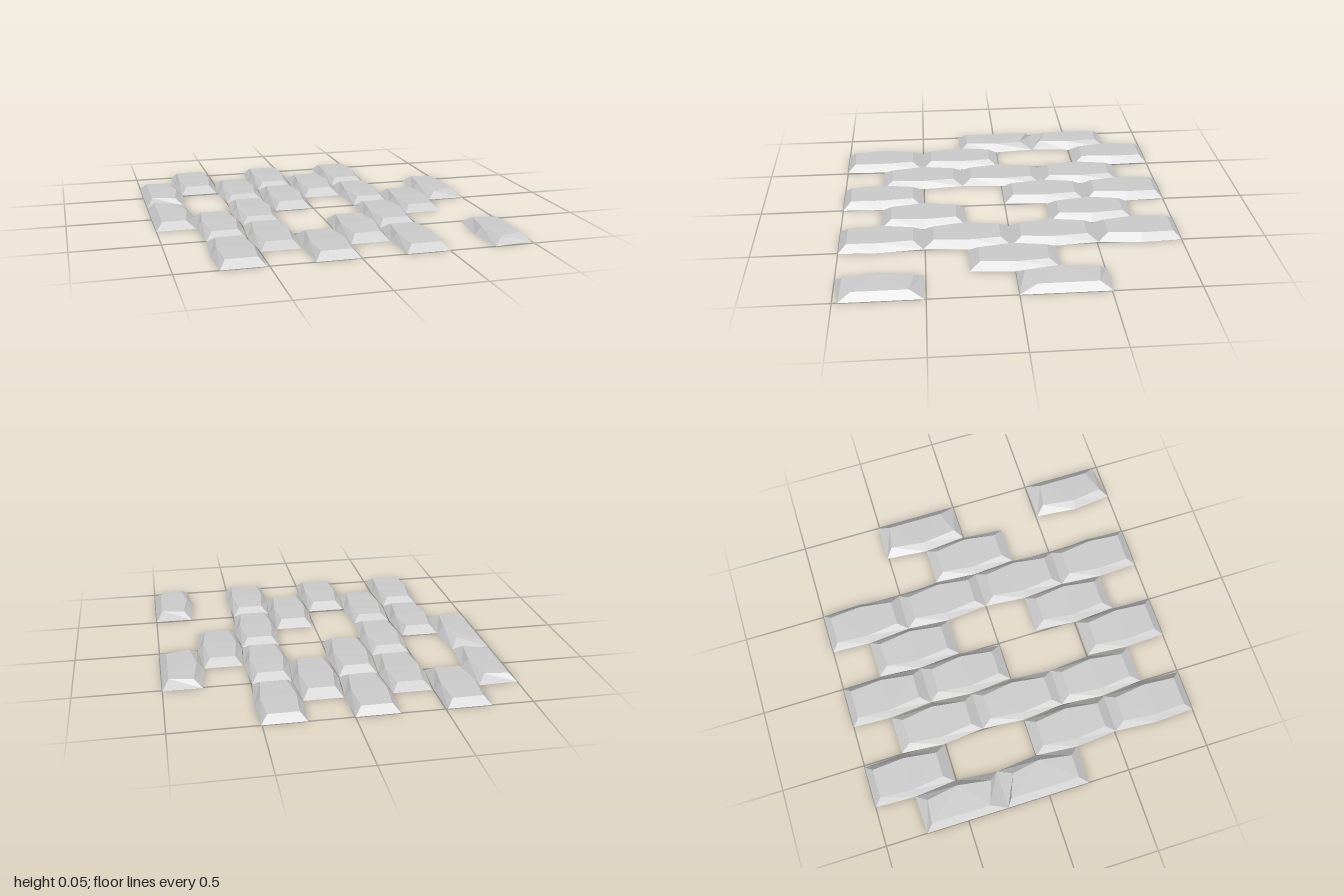
import * as THREE from 'three';

const material = new THREE.MeshStandardMaterial({ color: 0xcccccc, flatShading: true, side: THREE.DoubleSide });

// Open-bottomed bevelled stone: base and top rings of [x, z], clockwise from above,
// starting at a bulging side so the top folds across the middle.
function stone(name, base, top, height) {
  const n = base.length;
  const mids = n === 6 ? [0, 3] : [0];
  const b = base.map(([x, z]) => [x, 0, z]);
  const t = top.map(([x, z], i) => [x, mids.includes(i) ? height : height - 0.005, z]);
  const pos = [];
  const tri = (p, q, r) => pos.push(...p, ...q, ...r);
  for (let i = 0; i < n; i++) {
    const j = (i + 1) % n;
    tri(b[i], t[i], t[j]);
    tri(b[i], t[j], b[j]);
  }
  for (let i = 1; i < n - 1; i++) tri(t[0], t[i + 1], t[i]);
  const geometry = new THREE.BufferGeometry();
  geometry.setAttribute('position', new THREE.Float32BufferAttribute(pos, 3));
  geometry.computeVertexNormals();
  const mesh = new THREE.Mesh(geometry, material);
  mesh.name = name;
  return mesh;
}

// Six-sided ring; the ends may differ in width
function hexRing(x, back, mid, front, wBack, wMid, wFront) {
  return [
    [x - wMid, mid], [x - wBack, back], [x + wBack, back],
    [x + wMid, mid], [x + wFront, front], [x - wFront, front],
  ];
}

function hexStone(x, middle, height) {
  const back = Math.max(middle - 0.255, -1);
  const front = Math.min(middle + 0.255, 1);
  // stones trimmed by the border have wider ends and a narrower bevel
  const cutBack = back === -1, cutFront = front === 1;
  const base = hexRing(x, back, middle, front, cutBack ? 0.125 : 0.114, 0.135, cutFront ? 0.125 : 0.114);
  const top = hexRing(x, back + (cutBack ? 0.043 : 0.06), middle, front - (cutFront ? 0.047 : 0.06),
    cutBack ? 0.087 : 0.075, 0.1, cutFront ? 0.087 : 0.075);
  return stone('pavingStone', base, top, height);
}

export function createModel() {
  const group = new THREE.Group();
  group.name = 'stonePath';

  // Full stones by column: x, height, centres along z
  const columns = [
    [-0.637, 0.047, [-0.765, 0.255, 0.765]],
    [-0.381, 0.042, [-0.51, 0, 0.505]],
    [-0.126, 0.048, [-0.765, -0.255, 0.765]],
    [0.128, 0.049, [-0.51, 0.505]],
    [0.38, 0.046, [-0.765, -0.255, 0.255, 0.765]],
    [0.633, 0.044, [0]],
  ];
  for (const [x, height, centres] of columns) {
    for (const z of centres) group.add(hexStone(x, z, height));
  }

  // Half stones on the left and right borders:
  // [side, base z and top z at outer back, inner back, inner front, outer front, inner mid z]
  const halves = [
    [-1, [-0.75, -0.76, -0.255, -0.255], [-0.71, -0.695, -0.305, -0.355], -0.505],
    [-1, [-0.255, -0.255, 0.25, 0.25], [-0.225, -0.17, 0.197, 0.197], 0],
    [1, [-0.51, -0.51, 0, 0], [-0.44, -0.465, -0.045, -0.1], -0.255],
    [1, [0.51, 0.51, 1, 0.97], [0.59, 0.565, 0.955, 0.9], 0.765],
  ];
  for (const [side, zBase, zTop, mid] of halves) {
    const ring = (z, outer, end, bulge) => {
      const [ob, ib, inf, of] = z;
      const pts = [[bulge, mid], [end, ib], [outer, ob], [outer, of], [end, inf]];
      if (side < 0) pts.push(...pts.splice(1).reverse()); // keep clockwise order
      return pts.map(([x, zz]) => [x * side, zz]);
    };
    group.add(stone('borderStone', ring(zBase, 1, 0.772, 0.748), ring(zTop, 0.96, 0.82, 0.79), 0.046));
  }
  return group;
}
